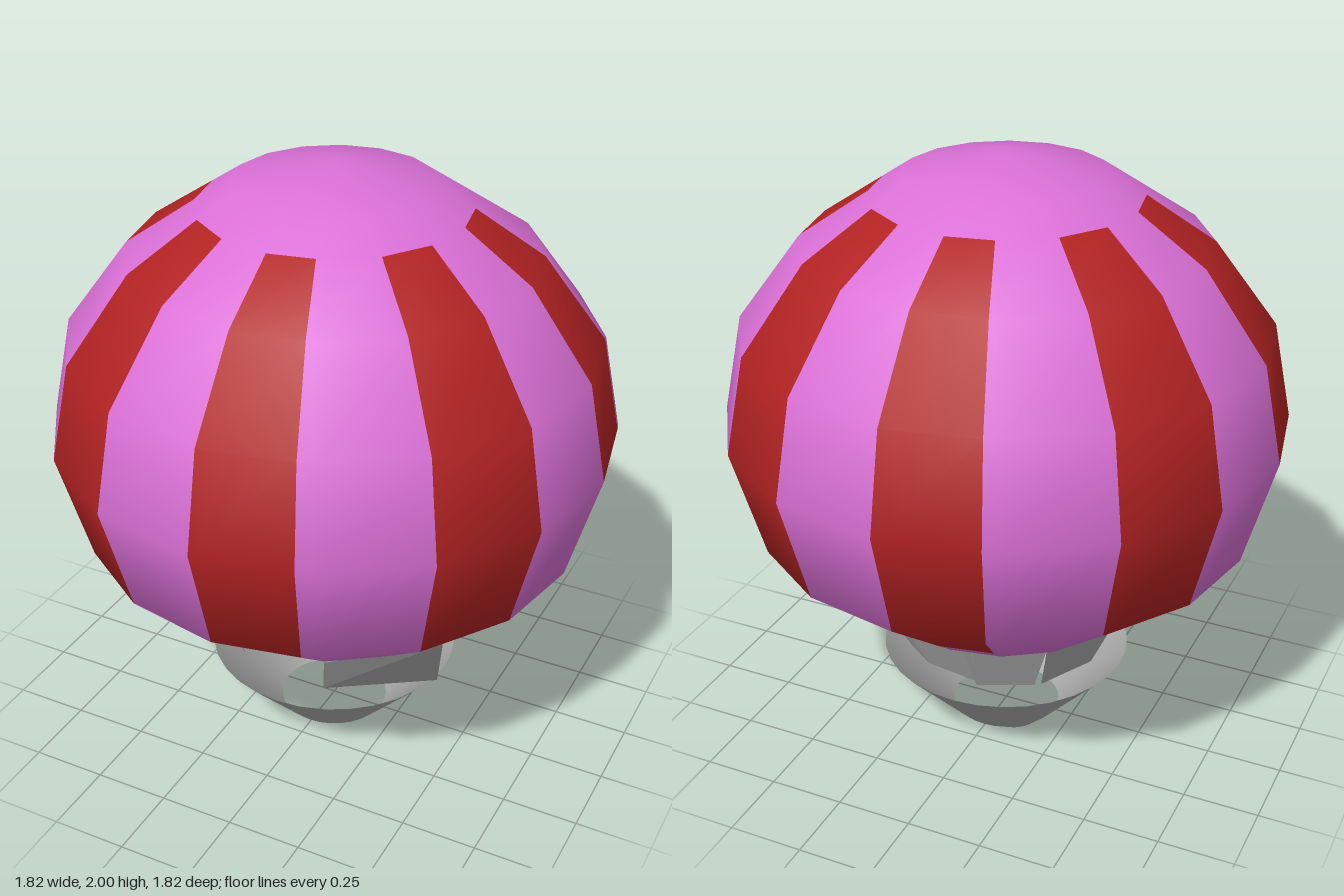
import * as THREE from 'three';

const pink = new THREE.MeshStandardMaterial({ color: 0xda70d6, side: THREE.DoubleSide });
pink.name = 'orchid fabric';
const red = new THREE.MeshStandardMaterial({ color: 0xb22222, side: THREE.DoubleSide });
red.name = 'red fabric';
const grey = new THREE.MeshStandardMaterial({ color: 0xa9a9a9, side: THREE.DoubleSide });
grey.name = 'grey metal';

const SIDES = 16;
const STRIPE_LOW = 0.53, STRIPE_HIGH = 1.86;

// Envelope profile as [radius, height], bottom to top
const profile = [[0.43, 0.465], [0.81, 0.765], [0.91, 1.13], [0.845, 1.445], [0.643, 1.715], [0.32, 1.93], [0, 2]];

// Profile rows with smooth normals, plus extra rows where the stripes end
function profileRows() {
  const rows = profile.map(([r, y], i) => {
    const a = profile[Math.max(i - 1, 0)], b = profile[Math.min(i + 1, profile.length - 1)];
    const n = i === profile.length - 1 ? new THREE.Vector2(0, 1)
      : new THREE.Vector2(b[1] - a[1], a[0] - b[0]).normalize();
    return { r, y, n };
  });
  for (const y of [STRIPE_LOW, STRIPE_HIGH]) {
    const i = rows.findIndex(row => row.y > y);
    const a = rows[i - 1], b = rows[i], t = (y - a.y) / (b.y - a.y);
    rows.splice(i, 0, { r: a.r + (b.r - a.r) * t, y, n: a.n.clone().lerp(b.n, t).normalize() });
  }
  return rows;
}

// Collects smooth-shaded patches that lie on the flat gores
class Patches {
  constructor() { this.pos = []; this.nor = []; }
  vertex(row, k, f) {
    const a = k * 2 * Math.PI / SIDES, b = (k + 1) * 2 * Math.PI / SIDES;
    const s = THREE.MathUtils.lerp(Math.sin(a), Math.sin(b), f);
    const c = THREE.MathUtils.lerp(Math.cos(a), Math.cos(b), f);
    const n = new THREE.Vector3(s * row.n.x, row.n.y, c * row.n.x).normalize();
    this.pos.push(row.r * s, row.y, row.r * c);
    this.nor.push(n.x, n.y, n.z);
  }
  add(low, high, k, f0, f1) {
    for (const [row, f] of [[low, f0], [low, f1], [high, f1], [low, f0], [high, f1], [high, f0]]) this.vertex(row, k, f);
  }
  mesh(name, material) {
    const g = new THREE.BufferGeometry();
    g.setAttribute('position', new THREE.Float32BufferAttribute(this.pos, 3));
    g.setAttribute('normal', new THREE.Float32BufferAttribute(this.nor, 3));
    const m = new THREE.Mesh(g, material);
    m.name = name;
    return m;
  }
}

// Balloon envelope with a red stripe on every other gore
function createEnvelope() {
  const fabric = new Patches(), stripes = new Patches();
  const rows = profileRows();
  const widths = { 0: 0.88, 4: 0.94, 8: 0.9 };
  for (let k = 0; k < SIDES; k++) {
    for (let i = 0; i < rows.length - 1; i++) {
      const low = rows[i], high = rows[i + 1];
      const striped = k % 2 === 0 && low.y >= STRIPE_LOW && high.y <= STRIPE_HIGH;
      const f = striped ? widths[k] ?? 1 : 0;
      if (f > 0) stripes.add(low, high, k, 0, f);
      if (f < 1) fabric.add(low, high, k, f, 1);
    }
  }
  const group = new THREE.Group();
  group.name = 'envelope';
  group.add(fabric.mesh('envelopeFabric', pink), stripes.mesh('envelopeStripes', red));
  return group;
}

// Flat four-cornered sheet
function sheet(name, a, b, c, d) {
  const g = new THREE.BufferGeometry();
  g.setAttribute('position', new THREE.Float32BufferAttribute([a, b, c, a, c, d].flat(), 3));
  g.computeVertexNormals();
  const m = new THREE.Mesh(g, grey);
  m.name = name;
  return m;
}

const around = (deg, r, y) => {
  const a = THREE.MathUtils.degToRad(deg);
  return [r * Math.sin(a), y, r * Math.cos(a)];
};

// Loose skirt panels under the envelope
function createSkirt() {
  const group = new THREE.Group();
  group.name = 'skirt';
  // [start angle, end angle, bottom height, top height]
  const panels = [
    [103, 127, 0.28, 0.40], [132, 158, 0.30, 0.47], [154, 190, 0.30, 0.47],
    [186, 222, 0.285, 0.48], [222, 262, 0.285, 0.48], [262, 292, 0.30, 0.47], [300, 328, 0.30, 0.47],
  ];
  for (const [a0, a1, y0, y1] of panels) {
    const r0 = 0.345, r1 = 0.34 + (y1 - 0.285) * 0.48;
    group.add(sheet('skirtPanel', around(a0 + 2, r0, y0), around(a1 - 2, r0, y0), around(a1, r1, y1), around(a0, r1, y1)));
  }
  // Panel bent outward at the front
  group.add(sheet('bentPanel', [0.12, 0.285, 0.32], [0.44, 0.285, 0.11], [0.54, 0.61, 0.32], [0.17, 0.47, 0.41]));
  return group;
}

// Open conical basket
function createBasket() {
  const basket = new THREE.Mesh(new THREE.CylinderGeometry(0.42, 0.185, 0.255, 32, 1, true), grey);
  basket.name = 'basket';
  basket.position.y = 0.1325;
  // Slightly uneven lower rim that touches the ground
  const p = basket.geometry.attributes.position;
  for (let i = 0; i < p.count; i++) {
    if (p.getY(i) < 0 && p.getX(i) < -0.1 && p.getX(i) > -0.15) p.setY(i, -0.1325);
  }
  return basket;
}

export function createModel() {
  const model = new THREE.Group();
  model.name = 'hotAirBalloon';
  model.add(createEnvelope(), createSkirt(), createBasket());
  return model;
}
